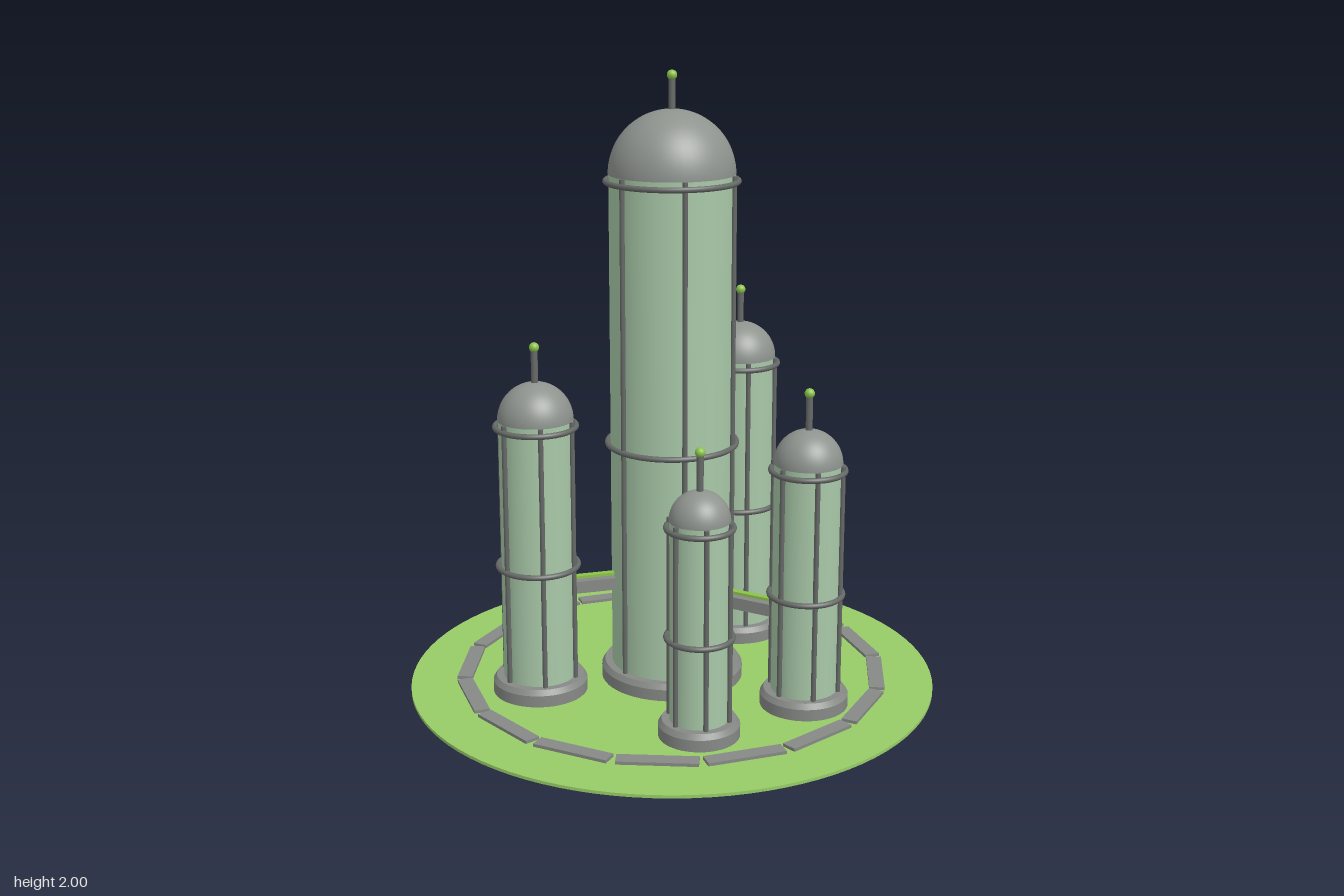
import * as THREE from 'three';

const mat = (name, color) => {
  const m = new THREE.MeshStandardMaterial({ color });
  m.name = name;
  return m;
};

export function createModel() {
  const grass = mat('grass green', 0x97cc68);
  const accent = mat('accent green', 0x8bc34a);
  const glass = mat('sage glass', 0xa8c8a8);
  const domeGrey = mat('dome grey', 0x8e938e);
  const stone = mat('stone grey', 0x868986);
  const frame = mat('frame grey', 0x666a67);

  const model = new THREE.Group();
  model.name = 'domedTowers';

  const add = (parent, name, geometry, material, x = 0, y = 0, z = 0) => {
    const mesh = new THREE.Mesh(geometry, material);
    mesh.name = name;
    mesh.position.set(x, y, z);
    parent.add(mesh);
    return mesh;
  };

  // Ground disc
  add(model, 'ground', new THREE.CylinderGeometry(0.863, 0.863, 0.01, 96), grass, 0, 0.005, 0);

  // Ring of sixteen path slabs
  const path = new THREE.Group();
  path.name = 'pathRing';
  model.add(path);
  for (let i = 0; i < 16; i++) {
    const a = (i / 16) * Math.PI * 2;
    const slab = add(path, 'pathSlab', new THREE.BoxGeometry(0.25, 0.01, 0.05), stone,
      Math.sin(a) * 0.676, 0.025, Math.cos(a) * 0.676);
    slab.rotation.y = a;
  }

  // One tower: base, body, dome, rings, ribs and antenna
  const tower = (name, { x, z, r, top, mid, ball }) => {
    const g = new THREE.Group();
    g.name = name;
    g.position.set(x, 0, z);
    model.add(g);

    const baseProfile = [[r, 0.01], [r + 0.033, 0.01], [r + 0.033, 0.01], [r + 0.033, 0.048],
      [r + 0.033, 0.048], [r + 0.022, 0.065], [r + 0.022, 0.065], [r - 0.01, 0.065]];
    add(g, 'base', new THREE.LatheGeometry(baseProfile.map(p => new THREE.Vector2(...p)), 48), stone);

    add(g, 'body', new THREE.CylinderGeometry(r - 0.002, r - 0.002, top - 0.01, 48), glass,
      0, (top + 0.01) / 2, 0);
    add(g, 'dome', new THREE.SphereGeometry(r, 48, 20, 0, Math.PI * 2, 0, Math.PI / 2), domeGrey, 0, top, 0);

    for (const y of [mid, top - 0.022]) {
      const ring = add(g, 'ring', new THREE.TorusGeometry(r + 0.008, 0.009, 10, 48), frame, 0, y, 0);
      ring.rotation.x = Math.PI / 2;
    }
    for (let i = 0; i < 6; i++) {
      const a = (i * Math.PI) / 3;
      add(g, 'rib', new THREE.CylinderGeometry(0.008, 0.008, top - 0.01, 8), frame,
        Math.cos(a) * (r + 0.003), (top + 0.01) / 2, Math.sin(a) * (r + 0.003));
    }

    const rodBottom = top + r - 0.01;
    add(g, 'antennaRod', new THREE.CylinderGeometry(0.011, 0.011, ball - rodBottom, 12), frame,
      0, (ball + rodBottom) / 2, 0);
    add(g, 'antennaLight', new THREE.SphereGeometry(0.016, 16, 12), accent, 0, ball, 0);
  };

  tower('mainTower', { x: 0, z: 0, r: 0.2, top: 1.681, mid: 0.815, ball: 1.984 });

  const sideTowers = [
    { x: 0.43, z: -0.137, r: 0.12, top: 1.004, mid: 0.482, ball: 1.235, bridge: 0.39 },
    { x: -0.405, z: -0.19, r: 0.12, top: 0.924, mid: 0.44, ball: 1.156, bridge: 0.355 },
    { x: -0.245, z: 0.405, r: 0.094, top: 0.706, mid: 0.333, ball: 0.918, bridge: 0.27 },
    { x: 0.16, z: 0.458, r: 0.108, top: 0.815, mid: 0.386, ball: 1.038, bridge: 0.312 },
  ];

  // Side towers, each joined to the main tower by a bridge
  for (const t of sideTowers) {
    tower('sideTower', t);
    const start = 0.18;
    const end = Math.hypot(t.x, t.z) - t.r + 0.02;
    const bridge = new THREE.Group();
    bridge.name = 'bridge';
    bridge.position.y = t.bridge;
    bridge.rotation.y = Math.atan2(t.x, t.z);
    model.add(bridge);
    const centre = (start + end) / 2;
    add(bridge, 'deck', new THREE.BoxGeometry(0.056, 0.04, end - start), stone, 0, 0, centre);
    add(bridge, 'deckStripe', new THREE.BoxGeometry(0.022, 0.009, end - start), accent, 0, 0.0265, centre)
      .position.y = 0.0285;
  }

  return model;
}
